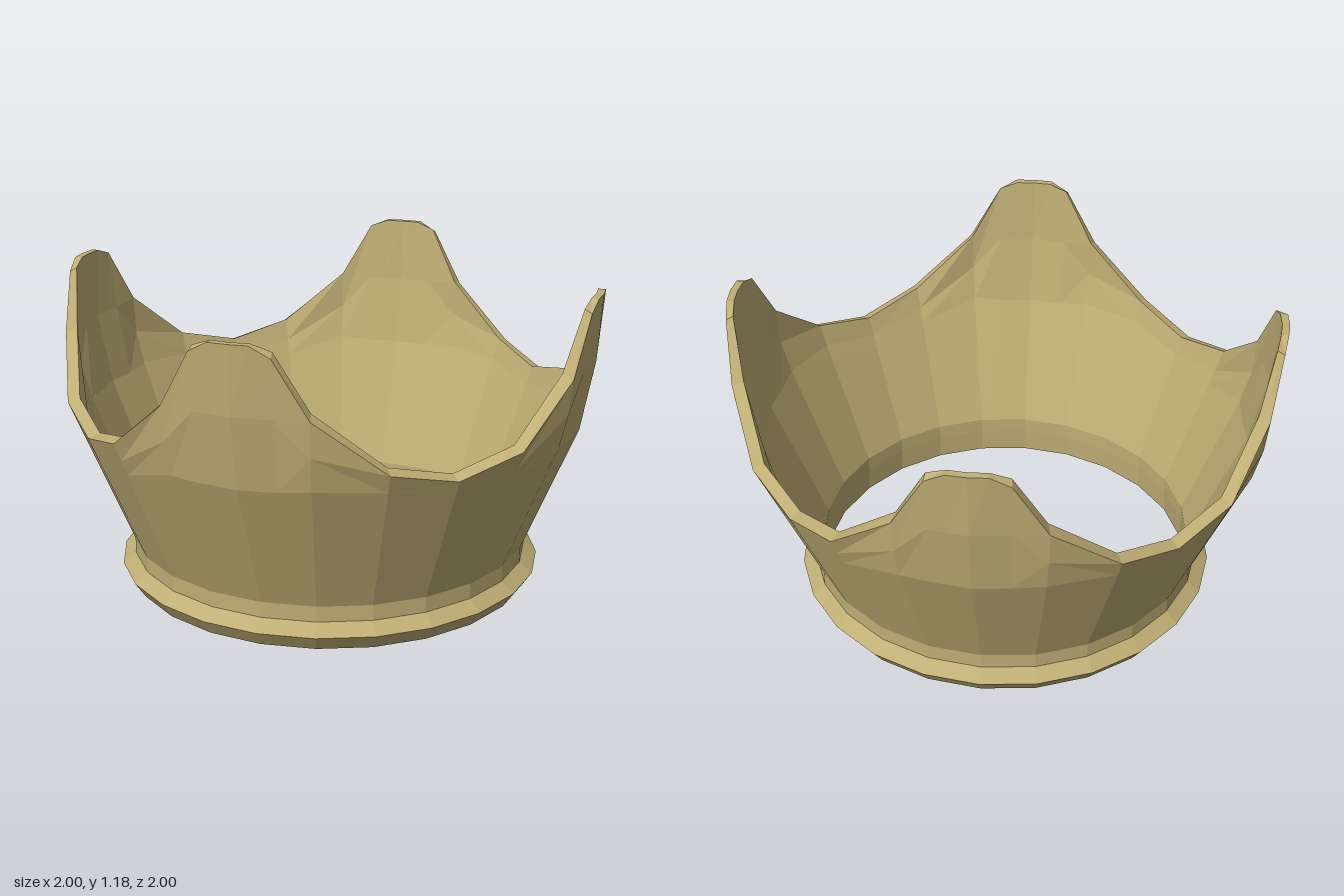
import * as THREE from 'three';

const material = new THREE.MeshStandardMaterial({ color: 0xbfae74, flatShading: true });

// One quarter of the crown, starting on a point: [degrees, shoulder y, middle y, rim y, rim radius]
const half = [
  [0, 0.66, 0.93, 1.18, 1.035],
  [4, 0.66, 0.93, 1.18, 1.032],
  [8, 0.66, 0.93, 1.14, 1.028],
  [15, 0.67, 0.8, 0.93, 1.02],
  [30, 0.6, 0.66, 0.73, 1.0],
  [45, 0.55, 0.61, 0.67, 0.975],
];
const quarter = [...half, ...half.slice(1, 5).reverse().map(([a, ...rest]) => [90 - a, ...rest])];

// Outer radius of the flared wall at a height
const flare = (y) => (y < 0.16 ? 0.77 : y < 0.73 ? 0.77 + (y - 0.16) * 0.4035 : 1 + (y - 0.73) * 0.1);

// Closed wall section: up the outside, over the rim, down the inside
function section([, low, mid, top, rimR]) {
  const inner = (y) => flare(y) - (y < 0.75 ? 0.045 : 0.04);
  return [
    [0.77, 0.1], [0.77, 0.16], [flare(low), low], [flare(mid), mid], [rimR, top],
    [rimR - (top > 1 ? 0.028 : 0.045), top + (top > 1.15 ? 0 : 0.015)],
    [inner(mid), mid], [inner(low), low], [0.73, 0.16], [0.73, 0.1],
  ];
}

function wallGeometry() {
  const positions = [], index = [];
  const rows = 10, columns = quarter.length * 4;
  for (let q = 0; q < 4; q++) {
    for (const column of quarter) {
      const angle = THREE.MathUtils.degToRad(q * 90 + column[0] - 30);
      // columns between the 24 corners stay on the flat facet
      const step = THREE.MathUtils.degToRad((column[0] % 15) - 7.5);
      const chord = Math.cos(Math.PI / 24) / Math.cos(step);
      section(column).forEach(([r, y], i) => {
        const k = i === 4 || i === 5 ? 1 : chord;
        positions.push(r * k * Math.sin(angle), y, r * k * Math.cos(angle));
      });
    }
  }
  for (let c = 0; c < columns; c++) {
    const n = (c + 1) % columns;
    for (let r = 0; r < rows - 1; r++) {
      const a = c * rows + r, b = n * rows + r;
      index.push(a, b, b + 1, a, b + 1, a + 1);
    }
  }
  const geometry = new THREE.BufferGeometry();
  geometry.setAttribute('position', new THREE.Float32BufferAttribute(positions, 3));
  geometry.setIndex(index);
  geometry.computeVertexNormals();
  return geometry;
}

export function createModel() {
  const crown = new THREE.Group();
  crown.name = 'crown';

  // Flared wall with four rounded points
  const wall = new THREE.Mesh(wallGeometry(), material);
  wall.name = 'pointedWall';

  // Bevelled band around the foot
  const profile = [[0.73, 0.1], [0.735, 0], [0.78, 0], [0.82, 0.06], [0.77, 0.1]];
  const band = new THREE.Mesh(
    new THREE.LatheGeometry(profile.map(([r, y]) => new THREE.Vector2(r, y)), 24),
    material,
  );
  band.name = 'baseBand';

  crown.add(wall, band);
  return crown;
}
